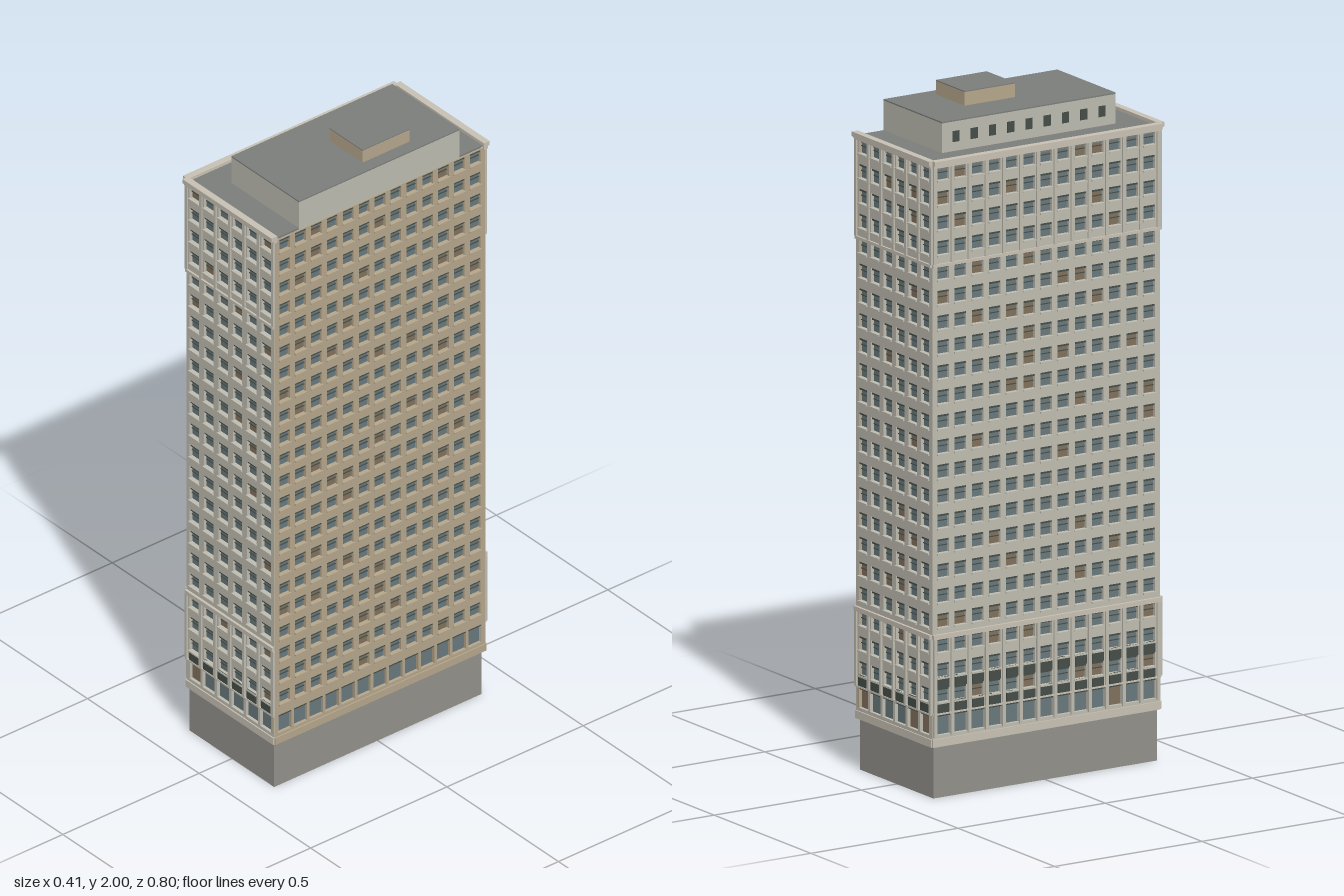
import * as THREE from 'three';
import { mergeGeometries } from 'three/addons/utils/BufferGeometryUtils.js';

const COLORS = {
  stone: 0xbfbcb0, tan: 0xb5a68b, trim: 0xc8c1b4, base: 0x92908a, roof: 0x7b7e7a,
  dark: 0x454e48, glass: 0x68787c, blind: 0x80705c, penthouse: 0xbcbbb0,
};
const mats = {};
for (const k in COLORS) mats[k] = new THREE.MeshStandardMaterial({ color: COLORS[k] });

const ROWS = 22, ROW0 = 0.302, PITCH_Y = 0.07305, HALF_H = 0.0205;
const WALL_BOTTOM = 0.15, DEPTH = 0.016, RECESS = 0.01;

let seed = 7;
const rand = () => (seed = (seed * 16807) % 2147483647) / 2147483647;

// Box given by its min and max corners
function boxGeo(x0, x1, y0, y1, z0, z1) {
  return new THREE.BoxGeometry(x1 - x0, y1 - y0, z1 - z0)
    .translate((x0 + x1) / 2, (y0 + y1) / 2, (z0 + z1) / 2);
}

function addBox(parent, name, mat, ...c) {
  const m = new THREE.Mesh(boxGeo(...c), mats[mat]);
  m.name = name;
  parent.add(m);
}

function addMerged(parent, name, mat, geos) {
  if (!geos.length) return;
  const m = new THREE.Mesh(mergeGeometries(geos), mats[mat]);
  m.name = name;
  parent.add(m);
}

// One wall with window openings; local +z points outwards, z = 0 is the wall face
function facade({ name, width, top, cols, pitch, winW, mat, ornate, tall }) {
  const g = new THREE.Group();
  g.name = name;
  const w = width / 2;
  const shape = new THREE.Shape([[-w, WALL_BOTTOM], [w, WALL_BOTTOM], [w, top], [-w, top]]
    .map(p => new THREE.Vector2(...p)));
  const glass = [], blinds = [], sills = [], frames = [], panels = [], piers = [];

  const opening = (x, y0, y1, ww) => {
    const h = ww / 2;
    shape.holes.push(new THREE.Path([[x - h, y0], [x - h, y1], [x + h, y1], [x + h, y0]]
      .map(p => new THREE.Vector2(...p))));
    const pane = new THREE.PlaneGeometry(ww, y1 - y0).translate(x, (y0 + y1) / 2, -RECESS);
    (rand() < 0.13 ? blinds : glass).push(pane);
    // dark head of the opening
    frames.push(boxGeo(x - h, x + h, y1 - 0.006, y1, -RECESS, -0.002));
  };

  for (let c = 0; c < cols; c++) {
    const x = (c - (cols - 1) / 2) * pitch;
    opening(x, 0.185, 0.245, pitch * 0.84);
    for (let r = 0; r < ROWS; r++) {
      const y = ROW0 + r * PITCH_Y;
      opening(x, y - HALF_H, y + HALF_H, winW);
      const h = winW / 2;
      frames.push(boxGeo(x - h, x + h, y - 0.001, y + 0.0015, -RECESS, -RECESS + 0.003));
      sills.push(boxGeo(x - h - 0.002, x + h + 0.002, y - HALF_H - 0.005, y - HALF_H, -0.004, 0.005));
    }
    if (ornate) {
      // dark spandrels of the lower storeys
      panels.push(boxGeo(x - winW / 2, x + winW / 2, 0.248, ROW0 - HALF_H, -0.004, 0.003));
      if (tall) panels.push(boxGeo(x - winW / 2, x + winW / 2,
        ROW0 + HALF_H, ROW0 + PITCH_Y - HALF_H, -0.004, 0.003));
    }
  }

  // slim pilasters on the lower and uppermost storeys
  if (ornate) for (let c = 0; c <= cols; c++) {
    const x = (c - cols / 2) * pitch;
    const h = 0.005;
    piers.push(boxGeo(x - h, x + h, tall ? 0.18 : 0.25, 0.47, -0.002, 0.006));
    piers.push(boxGeo(x - h, x + h, 1.57, 1.855, -0.002, 0.005));
  }

  const wall = new THREE.Mesh(new THREE.ExtrudeGeometry(shape,
    { depth: DEPTH, bevelEnabled: false }).translate(0, 0, -DEPTH), mats[mat]);
  wall.name = name + ' wall';
  g.add(wall);
  addMerged(g, 'window panes', 'glass', glass);
  addMerged(g, 'window blinds', 'blind', blinds);
  addMerged(g, 'window frames', 'dark', frames);
  addMerged(g, 'window sills', mat, sills);
  addMerged(g, 'spandrels', 'dark', panels);
  addMerged(g, 'pilasters', mat, piers);

  // string courses and plinth
  if (ornate) {
    addBox(g, 'lower string course', 'trim', -w, w, 0.468, 0.482, -0.005, 0.008);
    addBox(g, 'upper string course', 'trim', -w, w, 1.562, 1.571, -0.005, 0.006);
    addBox(g, 'shopfront course', 'trim', -w, w, 0.245, 0.25, -0.005, 0.005);
  }
  addBox(g, 'plinth course', ornate ? 'trim' : 'tan', -w, w, 0.152, 0.175, -0.005, 0.004);
  return g;
}

export function createModel() {
  const model = new THREE.Group();
  model.name = 'office tower';

  // Base and inner core
  addBox(model, 'base', 'base', -0.19, 0.19, 0, 0.155, -0.38, 0.38);
  addBox(model, 'core', 'roof', -0.18, 0.185, 0.15, 1.85, -0.37, 0.37);

  // Four facades
  const end = { width: 0.393, top: 1.862, cols: 6, pitch: 0.0645, winW: 0.042, mat: 'stone', ornate: true };
  const side = { width: 0.774, cols: 13, pitch: 0.0583, winW: 0.039 };
  const place = (spec, x, z, turn) => {
    const f = facade(spec);
    f.position.set(x, 0, z);
    f.rotation.y = turn;
    model.add(f);
  };
  place({ ...end, name: 'front facade' }, 0.0025, 0.3875, 0);
  place({ ...end, name: 'back facade' }, 0.0025, -0.3875, Math.PI);
  place({ ...side, name: 'left facade', top: 1.86, mat: 'tan' }, 0.2, 0, Math.PI / 2);
  place({ ...side, name: 'right facade', top: 1.862, mat: 'stone', ornate: true, tall: true },
    -0.195, 0, -Math.PI / 2);

  // Roof and cornice on three sides
  addBox(model, 'roof', 'roof', -0.19, 0.196, 1.845, 1.866, -0.381, 0.381);
  for (const s of [-1, 1]) {
    const band = (name, y0, y1, zo) => addBox(model, name, 'trim', -0.197, 0.203, y0, y1,
      Math.min(s * 0.379, s * zo), Math.max(s * 0.379, s * zo));
    band('end cornice', 1.862, 1.876, 0.4);
    band('end cornice moulding', 1.854, 1.862, 0.394);
  }
  addBox(model, 'side cornice', 'trim', -0.21, -0.188, 1.862, 1.8755, -0.387, 0.387);
  addBox(model, 'side cornice moulding', 'trim', -0.204, -0.188, 1.854, 1.862, -0.387, 0.387);

  // Penthouse with a row of small windows, and the lift house
  addBox(model, 'penthouse', 'penthouse', -0.105, 0.197, 1.86, 1.953, -0.295, 0.295);
  addBox(model, 'penthouse roof', 'roof', -0.105, 0.197, 1.953, 1.957, -0.295, 0.295);
  const small = [];
  for (let i = 0; i < 9; i++) {
    const z = (i - 4) * 0.062;
    small.push(boxGeo(-0.1065, -0.1, 1.893, 1.925, z - 0.012, z + 0.012));
  }
  addMerged(model, 'penthouse windows', 'dark', small);
  addBox(model, 'lift house', 'tan', 0.01, 0.157, 1.955, 1.997, -0.143, 0.029);
  addBox(model, 'lift house roof', 'roof', 0.01, 0.157, 1.997, 2, -0.143, 0.029);
  return model;
}
